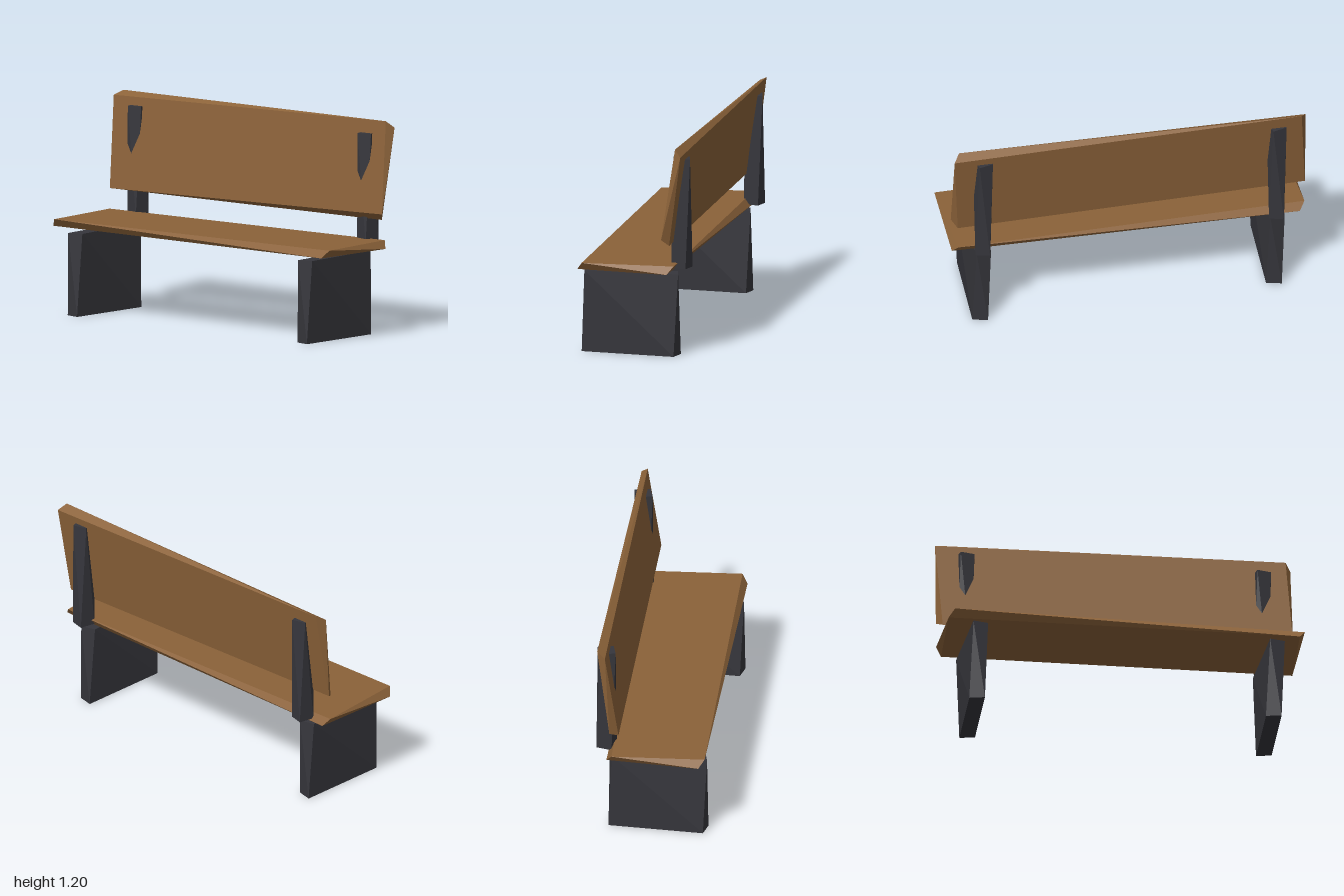
import * as THREE from 'three';
import { ConvexGeometry } from 'three/addons/geometries/ConvexGeometry.js';

// Block whose corners are cut alternately: one corner pulled in along x, the next along z.
function skewedBlock(w, h, d, inset) {
  const points = [];
  for (const sx of [-1, 1]) for (const sy of [-1, 1]) for (const sz of [-1, 1]) {
    const cutZ = sx * sy * sz > 0;
    points.push(new THREE.Vector3(
      sx * (w / 2 - (cutZ ? 0 : inset)),
      sy * h / 2,
      sz * (d / 2 - (cutZ ? inset : 0))
    ));
  }
  return new ConvexGeometry(points);
}

export function createModel() {
  const bench = new THREE.Group();
  bench.name = 'bench';
  const wood = new THREE.MeshStandardMaterial({ color: 0x8b6239 });
  wood.name = 'wood';
  const iron = new THREE.MeshStandardMaterial({ color: 0x36363c });
  iron.name = 'darkIron';

  const add = (name, geometry, material, x, y, z) => {
    const mesh = new THREE.Mesh(geometry, material);
    mesh.name = name;
    mesh.position.set(x, y, z);
    bench.add(mesh);
    return mesh;
  };

  // Seat and backrest share one plank shape; the backrest leans backwards
  const plank = skewedBlock(2, 0.043, 0.55, 0.032);
  add('seat', plank, wood, 0, 0.512, 0.035);
  const backrest = add('backrest', plank, wood, 0, 0.925, -0.232);
  backrest.rotation.x = THREE.MathUtils.degToRad(82);

  // Slab legs and the upright posts that carry the backrest
  const leg = skewedBlock(0.106, 0.466, 0.552, 0.021);
  const post = skewedBlock(0.1, 0.622, 0.108, 0.021);
  for (const [side, x] of [['right', -0.833], ['left', 0.833]]) {
    add(side + 'Leg', leg, iron, x, 0.233, 0.035);
    add(side + 'Post', post, iron, x, 0.813, -0.255);
  }
  return bench;
}
